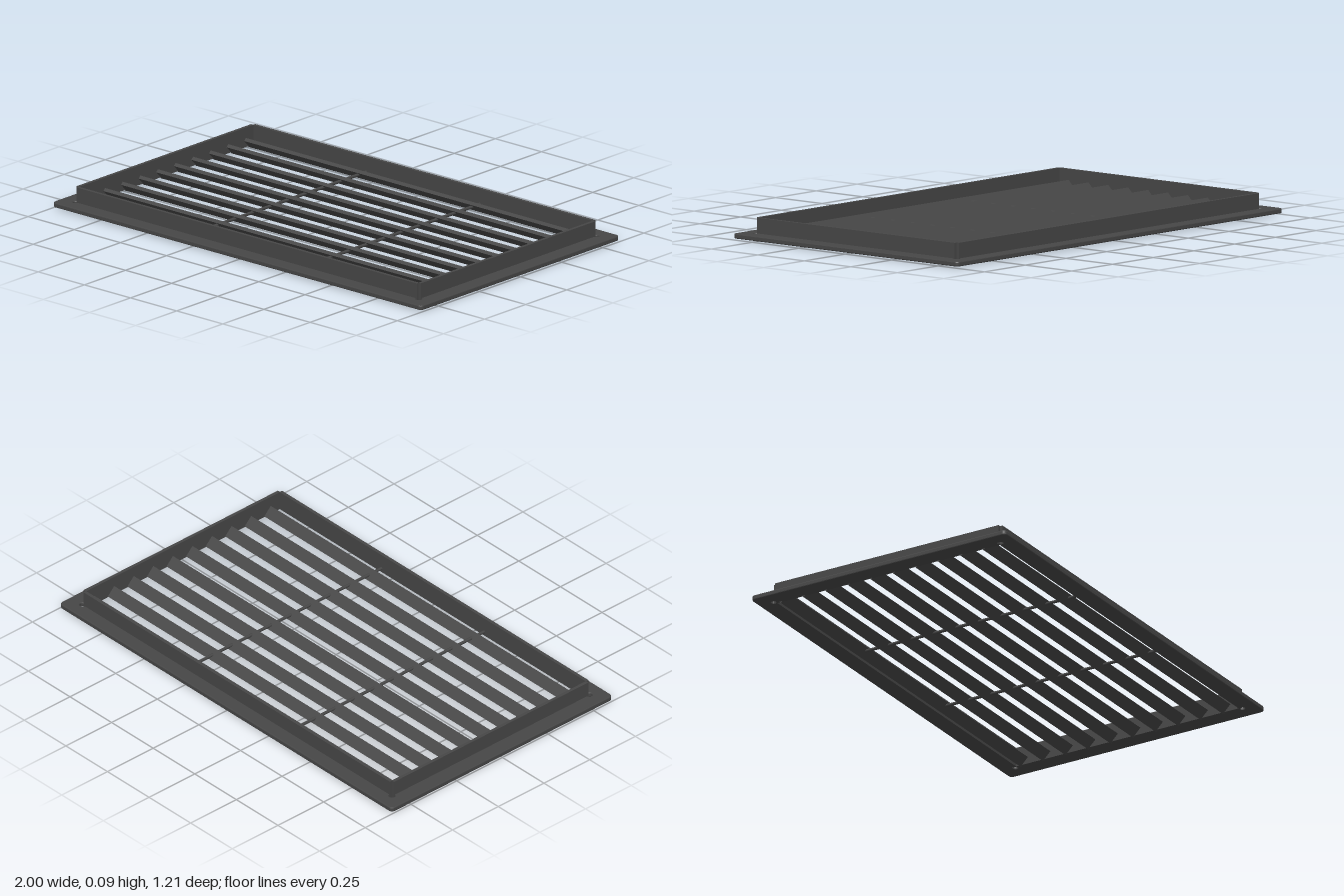
import * as THREE from 'three';

const X = 0.926, Z = 0.536, WALL = 0.014; // centre lines of the collar walls

// Rounded flange sheet with a rectangular opening and round corner reliefs
function flangeGeometry() {
  const w = 1, d = 0.605, r = 0.018, relief = 0.013;
  const shape = new THREE.Shape();
  const hole = new THREE.Path();
  const signs = [[1, 1], [-1, 1], [-1, -1], [1, -1]];
  signs.forEach(([sx, sz], i) => {
    const a = i * Math.PI / 2;
    shape.absarc(sx * (w - r), sz * (d - r), r, a, a + Math.PI / 2, false);
    hole.absarc(sx * (X + 0.003), sz * (Z + 0.003), relief, a - Math.PI / 2, a + Math.PI, false);
  });
  shape.closePath();
  hole.closePath();
  shape.holes.push(hole);
  const geo = new THREE.ExtrudeGeometry(shape, {
    depth: 0.012, bevelEnabled: true, bevelThickness: 0.004, bevelSize: 0.004,
    bevelOffset: -0.004, bevelSegments: 2, curveSegments: 8,
  });
  return geo.rotateX(-Math.PI / 2).translate(0, 0.01, 0);
}

export function createModel() {
  const model = new THREE.Group();
  model.name = 'ventGrille';
  const metal = new THREE.MeshStandardMaterial({ color: 0x464646 });
  metal.name = 'darkGreyMetal';

  const add = (name, geo, x = 0, y = 0, z = 0) => {
    const mesh = new THREE.Mesh(geo, metal);
    mesh.name = name;
    mesh.position.set(x, y, z);
    model.add(mesh);
    return mesh;
  };

  add('flange', flangeGeometry());

  // Upright collar, open at the corners
  const wallHeight = 0.083, wallY = 0.0485;
  const longWall = new THREE.BoxGeometry(1.842, wallHeight, WALL);
  const shortWall = new THREE.BoxGeometry(WALL, wallHeight, 1.062);
  add('frontWall', longWall, 0, wallY, Z);
  add('backWall', longWall, 0, wallY, -Z);
  add('leftWall', shortWall, X, wallY, 0);
  add('rightWall', shortWall, -X, wallY, 0);

  // Ten slats, rising towards the front
  const slat = new THREE.BoxGeometry(1.85, 0.015, 0.05);
  for (let i = 0; i < 10; i++) {
    add('slat' + (i + 1), slat, 0, 0.023, -0.496 + i * 0.107).rotation.x = -Math.PI / 4;
  }

  // Two rods that run through the slats
  const rod = new THREE.CylinderGeometry(0.0065, 0.0065, 1.07, 12).rotateX(Math.PI / 2);
  for (const side of [1, -1]) add(side > 0 ? 'leftRod' : 'rightRod', rod, side * 0.308, 0.025, 0);

  return model;
}
